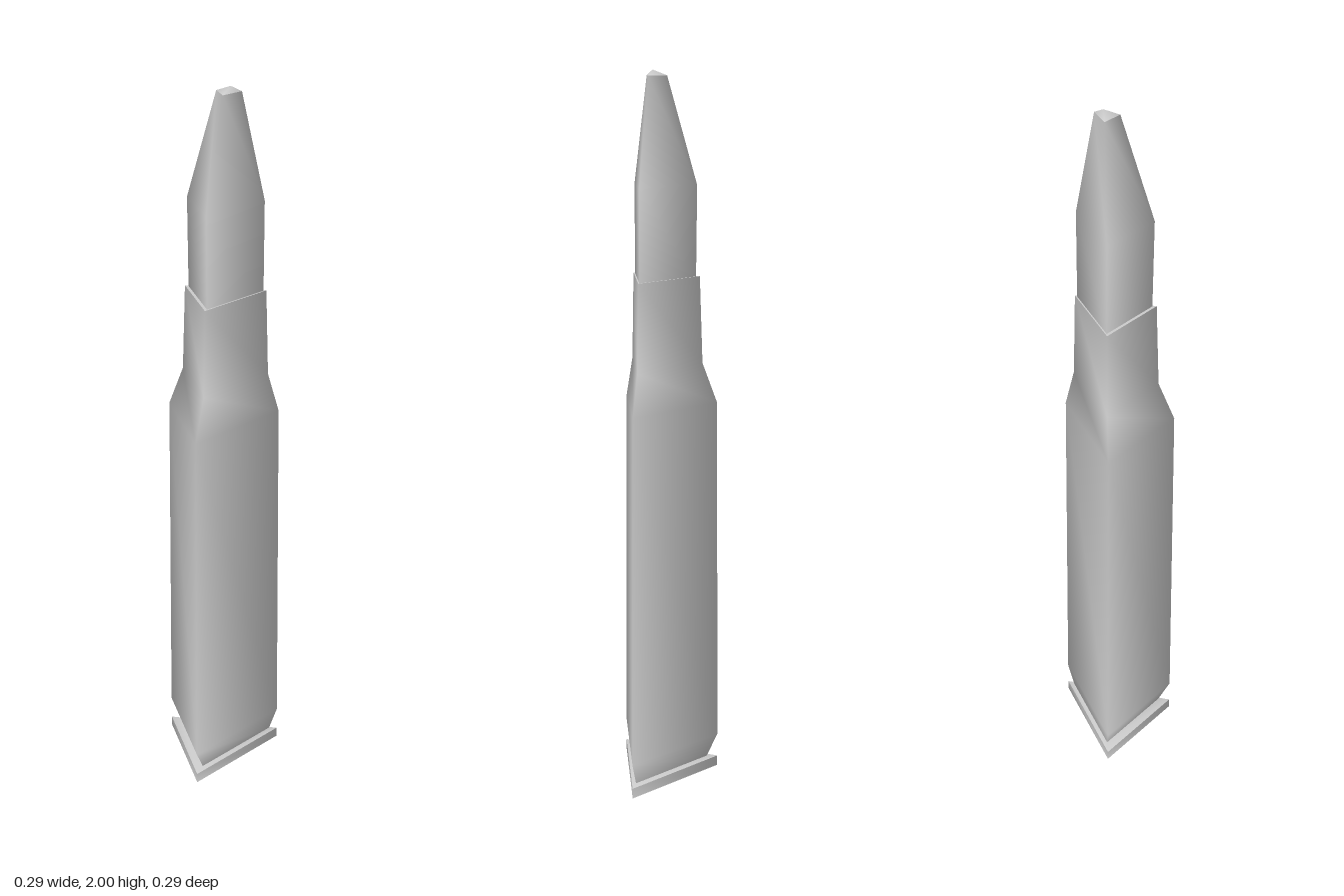
import * as THREE from 'three';
import { mergeVertices } from 'three/addons/utils/BufferGeometryUtils.js';

const material = new THREE.MeshStandardMaterial({ color: 0xcccccc, side: THREE.DoubleSide });

// Three-sided lathe whose cross-section fills a square of half-size r:
// one corner at +x, a flat side at -x.
function triangularPart(name, profile) {
  const points = profile.map(([r, y]) => new THREE.Vector2(r, y));
  let geometry = new THREE.LatheGeometry(points, 3, Math.PI / 2);
  const p = geometry.attributes.position;
  for (let i = 0; i < p.count; i++) {
    const x = p.getX(i), z = p.getZ(i), r = Math.hypot(x, z);
    p.setX(i, (4 * x - r) / 3);
    p.setZ(i, z * 2 / Math.sqrt(3));
  }
  // Weld the seam so the shading runs smoothly round the corners
  geometry.deleteAttribute('uv');
  geometry.deleteAttribute('normal');
  geometry = mergeVertices(geometry, 1e-5);
  geometry.computeVertexNormals();
  const mesh = new THREE.Mesh(geometry, material);
  mesh.name = name;
  return mesh;
}

export function createModel() {
  const group = new THREE.Group();
  group.name = 'cartridge';

  group.add(
    // Flat foot with its rim
    triangularPart('base', [[0, 0], [0.145, 0]]),
    triangularPart('rim', [[0.146, 0], [0.146, 0.03]]),
    triangularPart('rimTop', [[0.146, 0.03], [0.122, 0.036]]),
    // Groove, tapered body, shoulder and neck
    triangularPart('case', [
      [0.122, 0.036], [0.146, 0.1], [0.137, 1.1], [0.105, 1.215], [0.098, 1.455],
    ]),
    triangularPart('caseMouth', [[0.098, 1.455], [0.088, 1.455]]),
    // Bullet with a blunt tip
    triangularPart('bullet', [[0.09, 1.44], [0.091, 1.7], [0.029, 1.985]]),
    triangularPart('bulletTip', [[0.029, 1.985], [0, 2]]),
  );
  return group;
}
